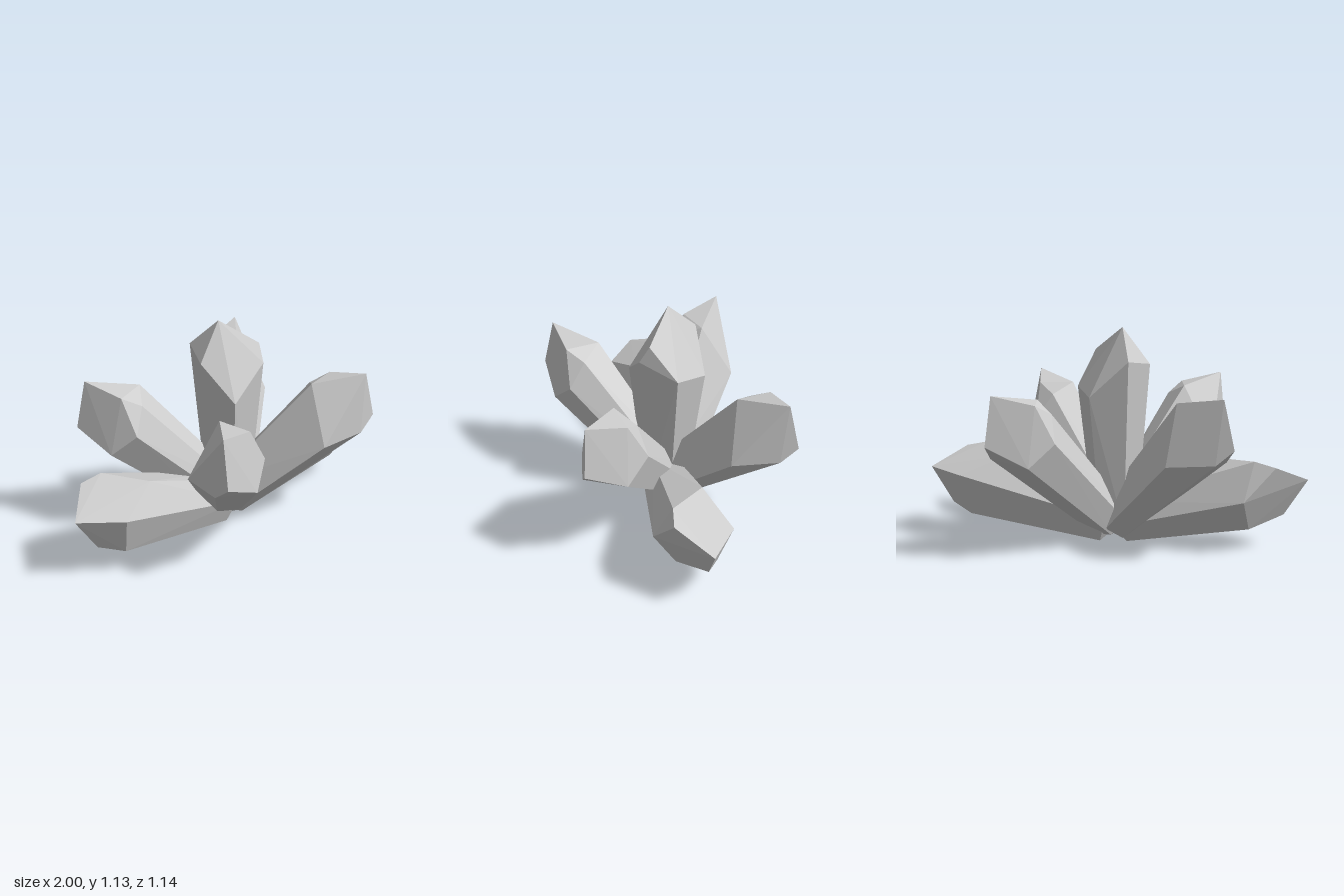
import * as THREE from 'three';
import { ConvexGeometry } from 'three/addons/geometries/ConvexGeometry.js';

const material = new THREE.MeshStandardMaterial({ color: 0xcccccc, flatShading: true });

// A crystal: a tip, a ring of six shaft corners, extra facet corners near the tip,
// and a bevelled foot made by shrinking the ring around the crystal's axis.
function crystalGeometry({ tip, ring, facets, foot, taper }) {
  const v = (p) => new THREE.Vector3(...p);
  const corners = ring.map(v);
  const base = v(foot);
  const centre = corners.reduce((s, p) => s.add(p), new THREE.Vector3()).divideScalar(corners.length);
  const axis = centre.sub(base).normalize();
  const footRing = (size, drop) => corners.map((p) => {
    const across = p.clone().sub(base);
    across.addScaledVector(axis, -across.dot(axis));
    return across.multiplyScalar(size).add(base).addScaledVector(axis, -drop);
  });
  return new ConvexGeometry([
    v(tip), ...corners, ...facets.map(v), ...footRing(taper, 0), ...footRing(taper * 0.5, 0.04),
  ]);
}

// Upright crystal in the middle
const upright = {
  tip: [-0.04, 1.13, -0.025],
  ring: [
    [-0.18, 0.94, 0], [-0.1, 0.75, 0.17], [0.11, 0.91, 0.15],
    [0.195, 0.82, -0.03], [0.1, 0.785, -0.19], [-0.1, 0.97, -0.18],
  ],
  facets: [[0.125, 1.0, 0.1]],
  foot: [0, 0.09, 0],
  taper: 0.6,
};

// Slanted crystal, leaning to the front and left
const slanted = {
  tip: [0.524, 0.834, 0.48],
  ring: [
    [0.39, 0.73, 0.21], [0.476, 0.6, 0.17], [0.55, 0.485, 0.285],
    [0.487, 0.513, 0.5], [0.246, 0.497, 0.47], [0.3, 0.786, 0.31],
  ],
  facets: [[0.476, 0.785, 0.27], [0.577, 0.588, 0.497]],
  foot: [0, 0.11, 0],
  taper: 0.6,
};

// Low crystal, pointing to the left
const low = {
  tip: [1, 0.36, -0.05],
  ring: [
    [0.7, 0.28, 0.19], [0.74, 0.475, 0.1], [0.57, 0.444, -0.08],
    [0.795, 0.35, -0.19], [0.76, 0.13, -0.12], [0.715, 0.115, 0.08],
  ],
  facets: [[0.88, 0.17, -0.05], [0.85, 0.45, 0.115]],
  foot: [0.04, 0.115, 0],
  taper: 0.65,
};

export function createModel() {
  const group = new THREE.Group();
  group.name = 'crystalCluster';

  // Each shape is repeated around the vertical axis: [turn in degrees, x shift, z shift]
  const sets = [
    ['uprightCrystal', upright, [[0, 0, 0]]],
    ['slantedCrystal', slanted, [[0, 0, 0], [88, 0.02, -0.012], [188.5, -0.018, -0.01], [269.5, -0.005, 0]]],
    ['lowCrystal', low, [[0, 0, 0], [178.3, 0, 0]]],
  ];
  for (const [name, shape, places] of sets) {
    const geometry = crystalGeometry(shape);
    places.forEach(([degrees, x, z], i) => {
      const mesh = new THREE.Mesh(geometry, material);
      mesh.name = places.length > 1 ? `${name}${i + 1}` : name;
      mesh.rotation.y = THREE.MathUtils.degToRad(degrees);
      mesh.position.set(x, 0, z);
      group.add(mesh);
    });
  }
  return group;
}
